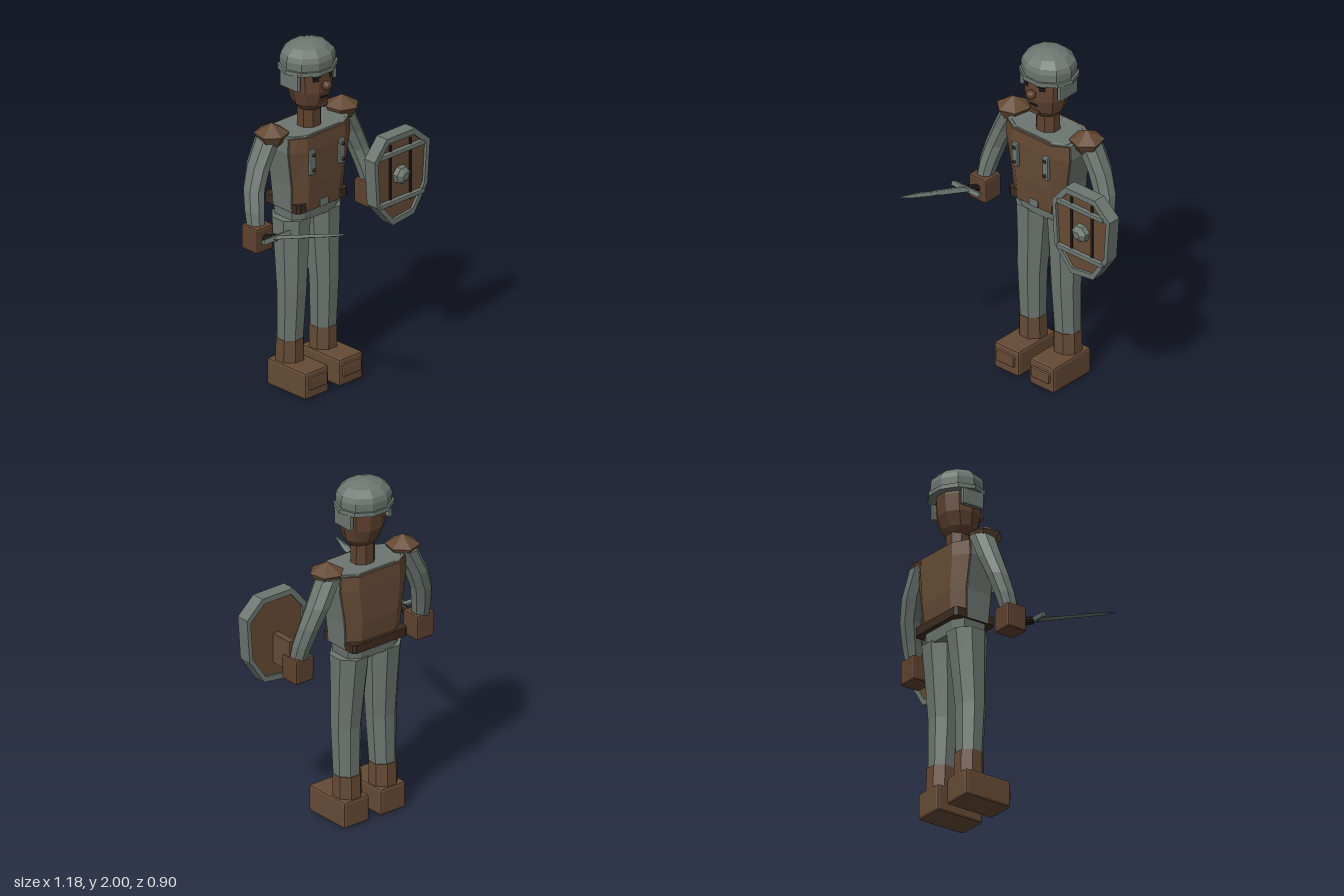
import * as THREE from 'three';
import { RoundedBoxGeometry } from 'three/addons/geometries/RoundedBoxGeometry.js';

const CX = -0.073; // body midline

function makeMaterial(name, color) {
  const m = new THREE.MeshStandardMaterial({ color, flatShading: true });
  m.name = name;
  return m;
}

// Unit cross-section with n corners; phase in steps turns it
function ngon(n, phase = 0.5) {
  const pts = [];
  for (let j = 0; j < n; j++) {
    const a = ((j + phase) / n) * Math.PI * 2;
    pts.push([Math.sin(a), Math.cos(a)]);
  }
  return pts;
}

// Rectangle with cut corners, in the same turning order as ngon
function cutRect(c) {
  return [[c, 1], [1, c], [1, -c], [c, -1], [-c, -1], [-1, -c], [-1, c], [-c, 1]];
}

// Closed loft through rings [y, cx, cz, rx, rz], bottom to top
function loft(rings, section) {
  const pos = [], n = section.length;
  const at = (r, j) => {
    const [y, cx, cz, rx, rz] = r, [sx, sz] = section[j % n];
    return [cx + sx * rx, y, cz + sz * rz];
  };
  const last = rings[rings.length - 1], first = rings[0];
  for (let j = 0; j < n; j++) {
    for (let i = 0; i < rings.length - 1; i++) {
      const a = at(rings[i], j), b = at(rings[i], j + 1);
      const c = at(rings[i + 1], j + 1), d = at(rings[i + 1], j);
      pos.push(...a, ...b, ...c, ...a, ...c, ...d);
    }
    pos.push(first[1], first[0], first[2], ...at(first, j + 1), ...at(first, j));
    pos.push(last[1], last[0], last[2], ...at(last, j), ...at(last, j + 1));
  }
  const g = new THREE.BufferGeometry();
  g.setAttribute('position', new THREE.Float32BufferAttribute(pos, 3));
  g.computeVertexNormals();
  return g;
}

export function createModel() {
  const root = new THREE.Group();
  root.name = 'soldier';
  const steel = makeMaterial('greySteel', 0x6d7670);
  const leather = makeMaterial('brownLeather', 0x654a35);
  const skin = makeMaterial('skin', 0x5f4230);
  const dark = makeMaterial('darkLeather', 0x3b2b20);
  const black = makeMaterial('nearBlack', 0x221d1a);

  const add = (name, geo, mat, p = [0, 0, 0], parent = root) => {
    const m = new THREE.Mesh(geo, mat);
    m.name = name;
    m.position.set(...p);
    parent.add(m);
    return m;
  };
  const box = (w, h, d) => new THREE.BoxGeometry(w, h, d);
  const bevelBox = (w, h, d, r = 0.012) => new RoundedBoxGeometry(w, h, d, 1, r);
  const oct = ngon(8), dec = ngon(10);

  // Head, neck and face
  add('neck', loft([[1.48, CX, -0.295, 0.071, 0.066], [1.66, CX, -0.295, 0.069, 0.064]], oct), skin);
  add('head', loft([
    [1.615, CX, -0.285, 0.07, 0.066], [1.655, CX, -0.285, 0.105, 0.095],
    [1.73, CX, -0.29, 0.125, 0.12], [1.83, CX, -0.295, 0.127, 0.122], [1.9, CX, -0.3, 0.1, 0.1],
  ], dec), skin);
  add('nose', new THREE.IcosahedronGeometry(0.028, 1), skin, [CX, 1.773, -0.157]);
  add('mouth', box(0.045, 0.008, 0.012), black, [CX, 1.7, -0.182]);
  add('chin', box(0.06, 0.02, 0.02), skin, [CX, 1.655, -0.19]);
  for (const s of [-1, 1]) {
    add('eye', box(0.032, 0.018, 0.02), black, [CX + s * 0.053, 1.812, -0.188]).rotation.y = s * 0.5;
    add('eyebrow', box(0.045, 0.012, 0.03), black, [CX + s * 0.053, 1.836, -0.185]).rotation.y = s * 0.5;
  }

  // Helmet
  const cz = -0.305;
  add('helmetRim', loft([[1.842, CX, cz, 0.17, 0.153], [1.867, CX, cz, 0.17, 0.153]], dec), steel);
  add('helmetDome', loft([
    [1.86, CX, cz, 0.156, 0.143], [1.912, CX, cz, 0.158, 0.145], [1.94, CX, cz, 0.148, 0.136],
    [1.975, CX, cz, 0.108, 0.098], [1.993, CX, cz, 0.055, 0.05], [2.0, CX, cz, 0.008, 0.008],
  ], dec), steel);
  for (const s of [-1, 1])
    add('cheekGuard', bevelBox(0.026, 0.11, 0.14, 0.008), steel, [CX + s * 0.134, 1.805, -0.3]);

  // Torso: leather cuirass over a grey shirt that shows at the top and flanks
  const trunk = (dx, dz, top) => loft([
    [1.06, CX, -0.305, 0.184 + dx, 0.122 + dz], [1.22, CX, -0.305, 0.196 + dx, 0.136 + dz],
    [1.42, CX, -0.3, 0.228 + dx, 0.14 + dz], [top, CX, -0.3, 0.222 + dx, 0.137 + dz],
  ], cutRect(0.62));
  add('cuirass', trunk(0, 0, 1.502), leather);
  add('shirt', trunk(0.004, -0.012, 1.506), steel);
  add('collar', loft([[1.5, CX, -0.3, 0.21, 0.125], [1.508, CX, -0.3, 0.2, 0.115]], cutRect(0.62)), steel);
  add('hips', loft([[0.99, CX, -0.315, 0.17, 0.1], [1.07, CX, -0.315, 0.178, 0.108]], cutRect(0.65)), steel);
  add('belt', loft([[1.057, CX, -0.317, 0.188, 0.132], [1.107, CX, -0.317, 0.188, 0.132]], cutRect(0.9)), dark);
  add('beltBuckle', bevelBox(0.064, 0.046, 0.02, 0.006), steel, [CX, 1.082, -0.183]);

  for (const s of [-1, 1]) {
    // Chest clasp with two rivets
    add('chestClasp', bevelBox(0.042, 0.145, 0.024, 0.008), steel, [CX + s * 0.109, 1.355, -0.158]);
    for (const y of [1.31, 1.4])
      add('rivet', new THREE.IcosahedronGeometry(0.012, 0), dark, [CX + s * 0.109, y, -0.146]);

    // Shoulder pad
    add('shoulderPad', loft([
      [1.465, CX + s * 0.262, -0.312, 0.06, 0.06], [1.53, CX + s * 0.262, -0.312, 0.096, 0.098],
      [1.585, CX + s * 0.262, -0.312, 0.004, 0.004],
    ], ngon(6, s > 0 ? 0.2 : -0.2)), leather);

    // Curved sleeve and fist
    add('arm', loft([
      [1.04, CX + s * 0.423, -0.268, 0.047, 0.053], [1.13, CX + s * 0.412, -0.288, 0.055, 0.06],
      [1.24, CX + s * 0.388, -0.317, 0.06, 0.064], [1.36, CX + s * 0.34, -0.332, 0.064, 0.072],
      [1.51, CX + s * 0.264, -0.33, 0.068, 0.076],
    ], oct), steel);
    add('hand', bevelBox(0.124, 0.145, 0.124), skin, [CX + s * 0.419, 0.987, -0.259]);

    // Trouser leg
    add('leg', loft([
      [0.27, CX + s * 0.124, -0.312, 0.077, 0.074], [0.57, CX + s * 0.12, -0.302, 0.088, 0.084],
      [0.82, CX + s * 0.114, -0.312, 0.1, 0.1], [1.0, CX + s * 0.11, -0.318, 0.11, 0.115],
    ], oct), steel);

    // Boot
    add('bootCuff', loft([
      [0.12, CX + s * 0.124, -0.316, 0.082, 0.083], [0.287, CX + s * 0.124, -0.314, 0.08, 0.081],
    ], oct), leather);
    add('bootFoot', bevelBox(0.176, 0.157, 0.302, 0.015), leather, [CX + s * 0.126, 0.0785, -0.25]);
    add('toeCap', bevelBox(0.13, 0.064, 0.03, 0.01), leather, [CX + s * 0.126, 0.087, -0.098]);
  }

  // Sword, built along +y and tilted forward
  const sword = new THREE.Group();
  sword.name = 'sword';
  sword.position.set(-0.493, 1.027, -0.11);
  sword.rotation.x = THREE.MathUtils.degToRad(70);
  root.add(sword);
  add('swordBlade', loft([
    [0, 0, 0, 0.038, 0.01], [0.24, 0, 0, 0.034, 0.01], [0.29, 0, 0, 0.028, 0.009],
    [0.35, 0, 0, 0.032, 0.009], [0.5, 0, 0, 0.023, 0.008], [0.595, 0, 0, 0.001, 0.001],
  ], ngon(4, 0)), steel, [0, 0, 0], sword);
  add('swordGuard', bevelBox(0.198, 0.026, 0.028, 0.006), steel, [0, 0, 0], sword);
  add('swordGrip', new THREE.CylinderGeometry(0.022, 0.022, 0.14, 8), black, [0, -0.075, 0], sword);

  // Shield: thick rim around a recessed board
  const shield = new THREE.Group();
  shield.name = 'shield';
  root.add(shield);
  const mid = new THREE.Vector2(0.381, 1.12);
  const corners = [[0.193, 0.997], [0.31, 0.86], [0.468, 0.88], [0.569, 1.03],
    [0.587, 1.283], [0.479, 1.38], [0.267, 1.38], [0.175, 1.27]].map(p => new THREE.Vector2(...p));
  const inner = corners.map(p => p.clone().sub(mid).multiplyScalar(0.875).add(mid));
  const rim = new THREE.Shape(corners);
  rim.holes.push(new THREE.Path(inner));
  const slab = (shape, depth) => new THREE.ExtrudeGeometry(shape, { depth, bevelEnabled: false });
  add('shieldRim', slab(rim, 0.078), steel, [0, 0, -0.124], shield);
  add('shieldBoard', slab(new THREE.Shape(inner), 0.05), leather, [0, 0, -0.112], shield);
  for (const x of [0.304, 0.452])
    add('shieldSeam', box(0.014, 0.36, 0.009), black, [x, 1.15, -0.059], shield);
  for (const y of [1.28, 0.995])
    add('shieldBar', bevelBox(0.33, 0.027, 0.034, 0.006), steel, [0.377, y, -0.054], shield);
  const boss = add('shieldBoss', loft([
    [0, 0, 0, 0.055, 0.055], [0.03, 0, 0, 0.05, 0.05], [0.052, 0, 0, 0.022, 0.022],
  ], ngon(7, 0)), steel, [0.378, 1.137, -0.064], shield);
  boss.rotation.x = Math.PI / 2;
  add('shieldGrip', box(0.038, 0.175, 0.14), leather, [0.379, 1.06, -0.18], shield);

  return root;
}
